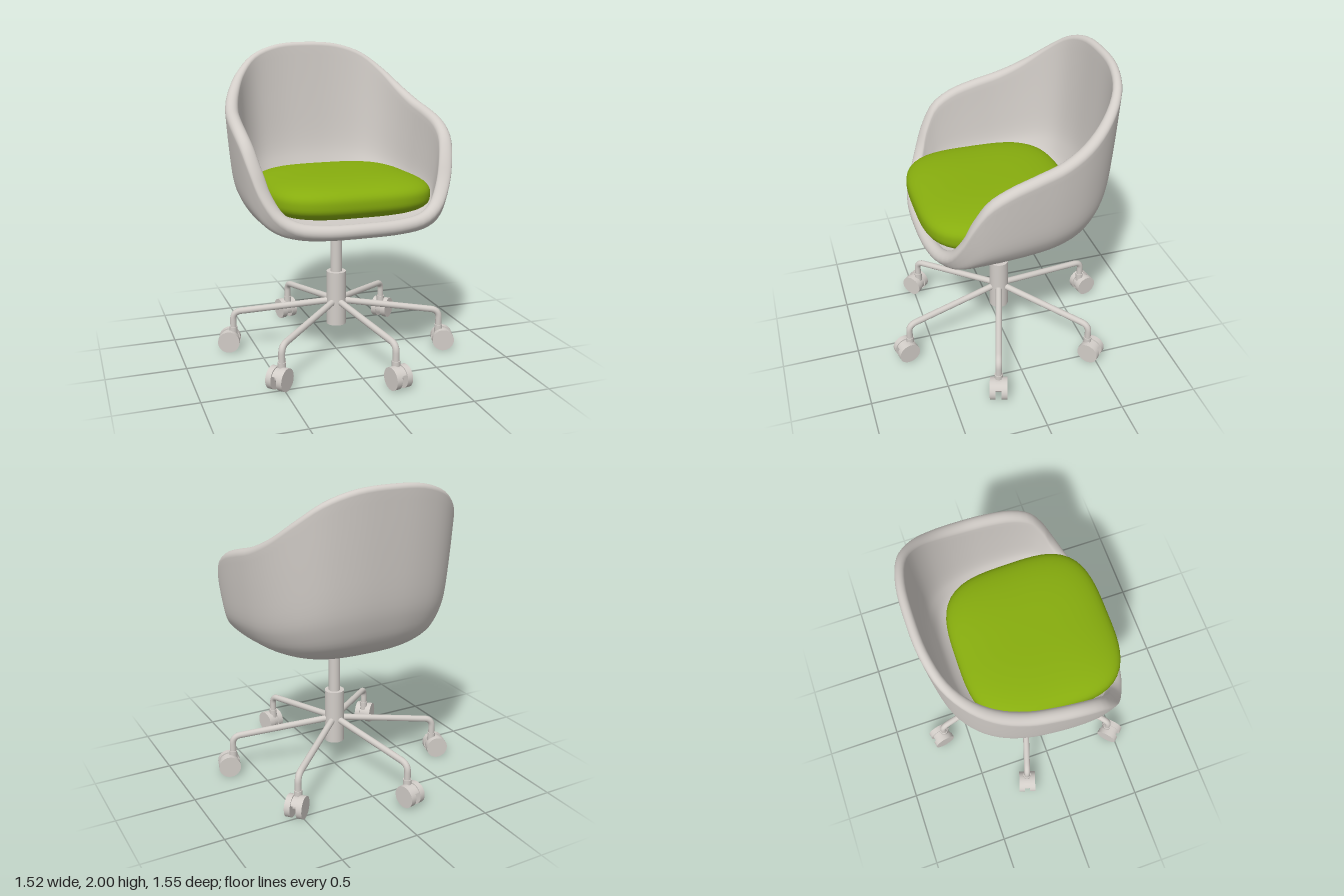
import * as THREE from 'three';

const grey = new THREE.MeshStandardMaterial({ color: 0xd2cdc8 });
grey.name = 'warm grey';
const green = new THREE.MeshStandardMaterial({ color: 0x87ad0e });
green.name = 'leaf green';

const V = (x, y, z) => new THREE.Vector3(x, y, z);

function part(name, geometry, material, parent, x = 0, y = 0, z = 0) {
  const mesh = new THREE.Mesh(geometry, material);
  mesh.name = name;
  mesh.position.set(x, y, z);
  parent.add(mesh);
  return mesh;
}

// Smooth surface from closed rings: rings[j][i], i running from front (+z) towards +x
function skin(rings) {
  const n = rings[0].length;
  const index = [];
  for (let j = 0; j < rings.length - 1; j++) {
    for (let i = 0; i < n; i++) {
      const k = (i + 1) % n;
      const a = j * n + i, b = j * n + k, c = (j + 1) * n + k, d = (j + 1) * n + i;
      index.push(a, b, c, a, c, d);
    }
  }
  const g = new THREE.BufferGeometry().setFromPoints(rings.flat());
  g.setIndex(index);
  g.computeVertexNormals();
  return g;
}

// Tub shell: one bowl profile stretched from the base centre to each rim point
function shellGeometry() {
  const half = [
    [0, 0.915, 0.54], [0.25, 0.92, 0.53], [0.41, 0.95, 0.505], [0.52, 1.02, 0.46],
    [0.6, 1.15, 0.402], [0.645, 1.29, 0.342], [0.675, 1.41, 0.262], [0.688, 1.485, 0.14],
    [0.684, 1.54, -0.03], [0.665, 1.588, -0.2], [0.617, 1.67, -0.365], [0.53, 1.785, -0.505],
    [0.4, 1.895, -0.605], [0.22, 1.958, -0.655], [0, 1.973, -0.667],
  ];
  const mirrored = half.slice(1, -1).reverse().map(([x, y, z]) => [-x, y, z]);
  const rim = new THREE.CatmullRomCurve3([...half, ...mirrored].map((p) => V(...p)), true);
  const profile = new THREE.SplineCurve([
    [0, 0], [0.25, 0.003], [0.5, 0.025], [0.66, 0.065], [0.81, 0.15],
    [0.895, 0.27], [0.945, 0.42], [0.977, 0.7], [1, 1],
  ].map((p) => new THREE.Vector2(...p)));

  const N = 96, M = 32, base = 0.888;
  const rimPoints = Array.from({ length: N }, (_, i) => rim.getPointAt(i / N));
  // Wall is thinner towards the top of the backrest
  const thick = rimPoints.map((r) => 0.085 - 0.03 * THREE.MathUtils.smoothstep(r.y, 1.55, 1.95));
  const outer = [];
  for (let j = 0; j <= M; j++) {
    const f = profile.getPoint(j / M);
    outer.push(rimPoints.map((r) => V(r.x * f.x, base + (r.y - base) * f.y, r.z * f.x)));
  }
  // Inward direction at each outer point
  const inward = outer.map((ring, j) => ring.map((p, i) => {
    if (j === 0) return V(0, 1, 0);
    const du = ring[(i + 1) % N].clone().sub(ring[(i + N - 1) % N]);
    const ds = outer[Math.min(j + 1, M)][i].clone().sub(outer[j - 1][i]);
    return ds.cross(du).normalize();
  }));
  const inner = outer.map((ring, j) => ring.map((p, i) =>
    p.clone().addScaledVector(inward[j][i], j === 0 ? 0.085 : thick[i])));
  // Half-round rim joining outer and inner faces
  const cap = [];
  for (let k = 1; k < 10; k++) {
    const a = (k / 10) * Math.PI;
    cap.push(outer[M].map((p, i) => {
      const n = inward[M][i];
      const t = p.clone().sub(outer[M - 1][i]);
      t.addScaledVector(n, -t.dot(n)).normalize();
      return p.clone().addScaledVector(n, (thick[i] / 2) * (1 - Math.cos(a)))
        .addScaledVector(t, (thick[i] / 2) * Math.sin(a));
    }));
  }
  return skin([...outer, ...cap, ...inner.reverse()]);
}

// Plump seat pad: rounded square in plan and in section
function cushionGeometry() {
  const round = (a, n) => {
    const c = Math.cos(a), s = Math.sin(a);
    const r = (Math.abs(c) ** n + Math.abs(s) ** n) ** (-1 / n);
    return [r * c, r * s];
  };
  const rings = [];
  for (let j = 0; j <= 32; j++) {
    const [w, h] = round((j / 32 - 0.5) * Math.PI, 2.9);
    rings.push(Array.from({ length: 72 }, (_, i) => {
      const [z, x] = round((i / 72) * Math.PI * 2, 3.4);
      return V(0.513 * x * w * (1 + 0.02 * z), 0.127 * h, 0.502 * z * w);
    }));
  }
  return skin(rings);
}

// Bent arm, swivel post and twin-wheel caster, pointing along +x
function makeLeg() {
  const leg = new THREE.Group();
  leg.name = 'leg';
  const post = 0.682;
  const path = new THREE.CurvePath();
  path.add(new THREE.LineCurve3(V(0.02, 0.35, 0), V(post - 0.05, 0.277, 0)));
  path.add(new THREE.QuadraticBezierCurve3(
    V(post - 0.05, 0.277, 0), V(post, 0.27, 0), V(post, 0.22, 0)));
  path.add(new THREE.LineCurve3(V(post, 0.22, 0), V(post, 0.13, 0)));
  part('legTube', new THREE.TubeGeometry(path, 60, 0.021, 14), grey, leg);
  part('casterSocket', new THREE.CylinderGeometry(0.026, 0.026, 0.06, 18), grey, leg, post, 0.14, 0);

  const caster = new THREE.Group();
  caster.name = 'caster';
  caster.position.set(0.71, 0.076, 0);
  leg.add(caster);
  for (const side of [-1, 1]) {
    const wheel = new THREE.CylinderGeometry(0.071, 0.071, 0.037, 32);
    part('wheel', wheel, grey, caster, 0, 0, side * 0.0375).rotation.x = Math.PI / 2;
  }
  part('axle', new THREE.CylinderGeometry(0.025, 0.025, 0.05, 16), grey, caster).rotation.x = Math.PI / 2;
  // Hood covering the upper, inner half of the gap between the wheels
  const hoodShape = new THREE.Shape().absarc(0, 0, 0.063, 0.15 * Math.PI, 1.15 * Math.PI);
  const hood = new THREE.ExtrudeGeometry(hoodShape, { depth: 0.04, bevelEnabled: false, curveSegments: 20 });
  part('hood', hood, grey, caster, 0, 0, -0.02);
  return leg;
}

export function createModel() {
  const chair = new THREE.Group();
  chair.name = 'swivelChair';

  part('shell', shellGeometry(), grey, chair);
  part('cushion', cushionGeometry(), green, chair, 0, 1.11, 0.054);

  // Centre column
  part('gasLift', new THREE.CylinderGeometry(0.038, 0.038, 0.4, 28), grey, chair, 0, 0.72, 0);
  part('hub', new THREE.CylinderGeometry(0.064, 0.064, 0.36, 32), grey, chair, 0, 0.37, 0);

  // Six-legged base
  const legs = new THREE.Group();
  legs.name = 'base';
  for (let i = 0; i < 6; i++) {
    const leg = makeLeg();
    leg.rotation.y = -THREE.MathUtils.degToRad(17.5 + i * 60);
    legs.add(leg);
  }
  chair.add(legs);
  return chair;
}
